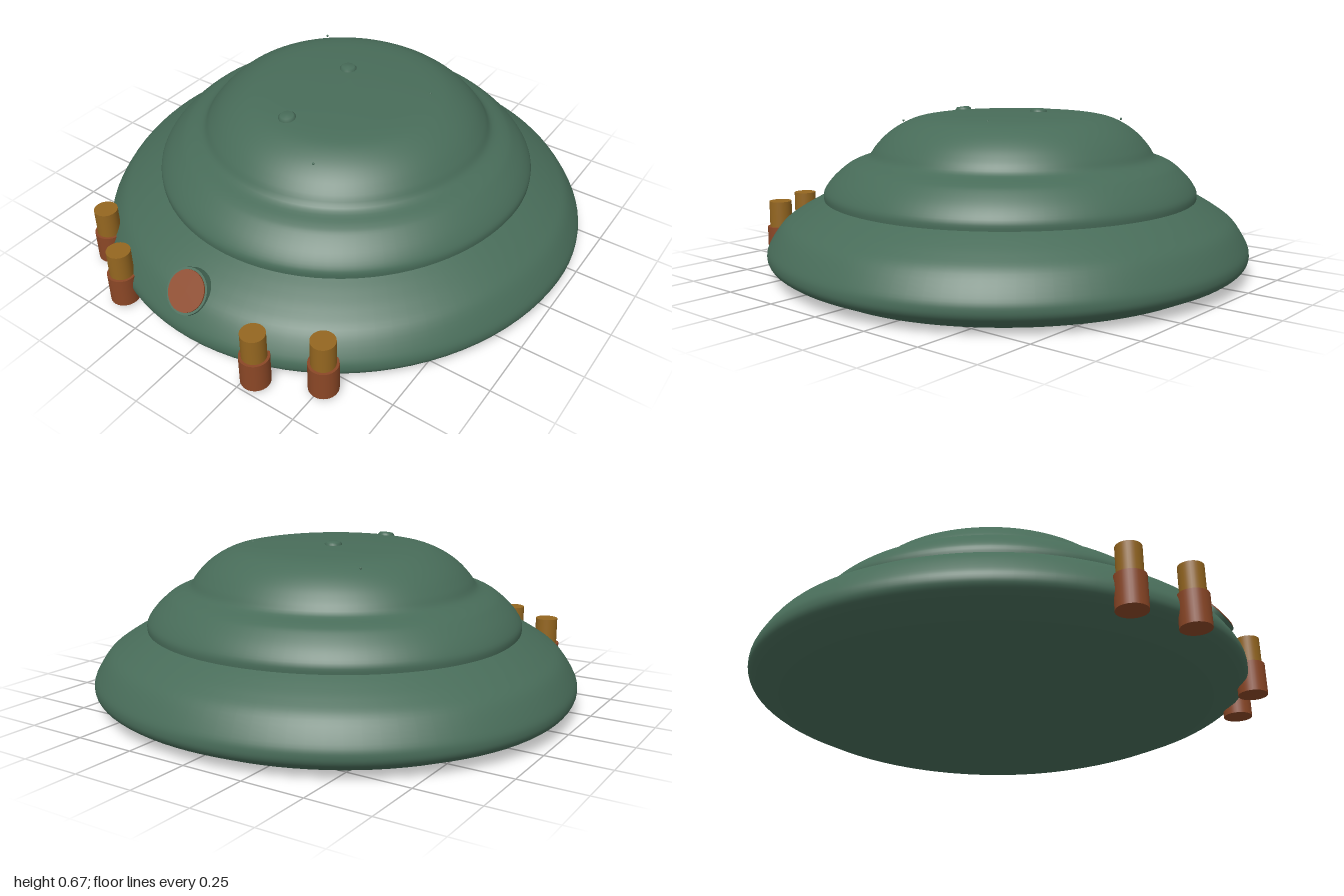
import * as THREE from 'three';

const CENTRE_Z = -0.08, FRONT = 1.06, BACK = 0.93;

// Slightly egg-shaped lathe: the front half is longer than the back half
function eggLathe(profile, smooth = true) {
  const pts = profile.map(([x, y]) => new THREE.Vector2(x, y));
  const line = smooth ? new THREE.SplineCurve(pts).getPoints(pts.length * 4) : pts;
  line.forEach((p) => { p.x = Math.max(p.x, 0); });
  const geo = new THREE.LatheGeometry(line, 96);
  const pos = geo.attributes.position, nor = geo.attributes.normal;
  const n = new THREE.Vector3();
  for (let i = 0; i < pos.count; i++) {
    const s = pos.getZ(i) >= 0 ? FRONT : BACK;
    pos.setZ(i, pos.getZ(i) * s + CENTRE_Z);
    n.fromBufferAttribute(nor, i);
    n.z /= s;
    n.normalize();
    nor.setXYZ(i, n.x, n.y, n.z);
  }
  return geo;
}

export function createModel() {
  const group = new THREE.Group();
  const green = new THREE.MeshStandardMaterial({ color: 0x486c59 });
  green.name = 'green';
  const copper = new THREE.MeshStandardMaterial({ color: 0x8b4726 });
  copper.name = 'copper';
  const brass = new THREE.MeshStandardMaterial({ color: 0x946620 });
  brass.name = 'brass';

  const add = (parent, name, geo, mat, x = 0, y = 0, z = 0) => {
    const mesh = new THREE.Mesh(geo, mat);
    mesh.name = name;
    mesh.position.set(x, y, z);
    parent.add(mesh);
    return mesh;
  };

  // Hull: flat underside, bevel, and three stacked rounded tiers
  add(group, 'underside', eggLathe([[0, 0.002], [0.86, 0.002]], false), green);
  add(group, 'lowerBevel', eggLathe([[0.86, 0.002], [0.955, 0.043]], false), green);
  add(group, 'lowerHull', eggLathe([
    [0.955, 0.043], [0.98, 0.062], [0.99, 0.09], [0.98, 0.13], [0.93, 0.205],
    [0.87, 0.25], [0.81, 0.285], [0.765, 0.308],
  ]), green);
  add(group, 'middleTier', eggLathe([
    [0.765, 0.305], [0.763, 0.34], [0.73, 0.387], [0.68, 0.432], [0.645, 0.452],
    [0.59, 0.475], [0.56, 0.515], [0.52, 0.558], [0.47, 0.595], [0.41, 0.624],
    [0.35, 0.638], [0.28, 0.645], [0.15, 0.652], [0, 0.654],
  ]), green);

  // Round caps on the dome
  const capShape = [[0.034, -0.012], [0.034, 0.004], [0.026, 0.012], [0, 0.014]]
    .map(([x, y]) => new THREE.Vector2(x, y));
  const capGeo = new THREE.LatheGeometry(capShape, 24);
  add(group, 'topCap', capGeo, green, -0.055, 0.653, -0.145);
  add(group, 'frontCap', capGeo, green, -0.055, 0.64, 0.27).rotation.x = 0.12;

  // Tiny rivets
  const rivetGeo = new THREE.SphereGeometry(0.005, 8, 6);
  for (const [x, y, z] of [[-0.32, 0.618, -0.37], [0.31, 0.64, -0.19], [0.17, 0.6, 0.41]]) {
    add(group, 'rivet', rivetGeo, green, x, y, z);
  }

  // Tilted round porthole at the front
  const porthole = new THREE.Group();
  porthole.name = 'porthole';
  porthole.position.set(-0.052, 0.215, 0.885);
  porthole.rotation.x = 0.86;
  add(porthole, 'portholeRim', new THREE.CylinderGeometry(0.088, 0.09, 0.035, 40), green);
  add(porthole, 'portholeGlass', new THREE.CylinderGeometry(0.079, 0.079, 0.008, 40), copper, 0, 0.019, 0);
  group.add(porthole);

  // Two pairs of stepped posts along the front edge
  const baseGeo = new THREE.CylinderGeometry(0.057, 0.057, 0.125, 32);
  const tipGeo = new THREE.CylinderGeometry(0.047, 0.047, 0.11, 32);
  for (const [x, z] of [[-0.615, 0.75], [-0.395, 0.9], [0.29, 0.94], [0.51, 0.83]]) {
    const post = new THREE.Group();
    post.name = 'post';
    post.position.set(x, 0, z);
    add(post, 'postBase', baseGeo, copper, 0, 0.0775, 0);
    add(post, 'postTip', tipGeo, brass, 0, 0.195, 0);
    group.add(post);
  }
  return group;
}
